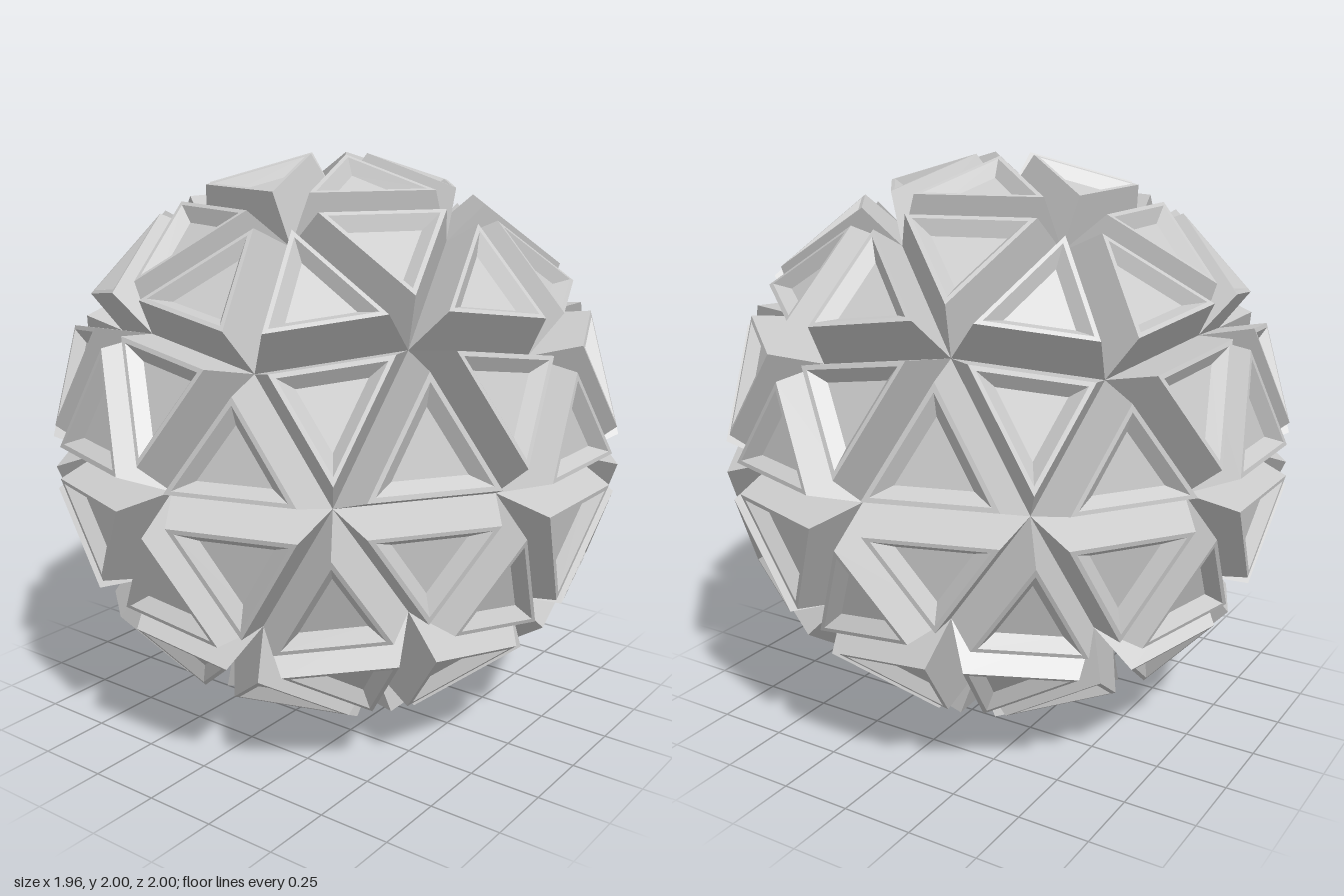
import * as THREE from 'three';

const RADIUS = 0.855;      // sphere on which the groove bottoms lie
const HEIGHT = 0.172;      // how far each plate stands out

// Cross-sections of one plate, from groove to recessed floor: [scale, height]
const SECTIONS = [
  [1, 0],
  [0.8, HEIGHT],
  [0.7, HEIGHT],
  [0.46, HEIGHT - 0.04],
];

// A raised triangular plate with a rim and a sunken centre
function plateGeometry(corners) {
  const centre = new THREE.Vector3();
  corners.forEach((c) => centre.addScaledVector(c, 1 / 3));
  const normal = new THREE.Triangle(...corners).getNormal(new THREE.Vector3());
  const rings = SECTIONS.map(([scale, height]) =>
    corners.map((c) => c.clone().sub(centre).multiplyScalar(scale).add(centre).addScaledVector(normal, height)));

  const points = [];
  for (let r = 0; r < rings.length - 1; r++) {
    for (let i = 0; i < 3; i++) {
      const j = (i + 1) % 3;
      const [a, b] = [rings[r][i], rings[r][j]];
      const [c, d] = [rings[r + 1][j], rings[r + 1][i]];
      points.push(a, b, c, a, c, d);
    }
  }
  points.push(...rings[rings.length - 1]);

  const geometry = new THREE.BufferGeometry().setFromPoints(points);
  geometry.computeVertexNormals();
  return geometry;
}

export function createModel() {
  const model = new THREE.Group();
  model.name = 'plateSphere';
  const material = new THREE.MeshStandardMaterial({ color: 0xcccccc, flatShading: true });

  // Subdivided icosahedron, turned so that one five-way corner is at the top
  const base = new THREE.IcosahedronGeometry(RADIUS, 1);
  base.rotateZ(-Math.atan(2 / (1 + Math.sqrt(5))));
  const position = base.getAttribute('position');

  // One plate on each of the 80 triangles
  for (let i = 0; i < position.count; i += 3) {
    const corners = [0, 1, 2].map((k) => new THREE.Vector3().fromBufferAttribute(position, i + k));
    const plate = new THREE.Mesh(plateGeometry(corners), material);
    plate.name = `plate${i / 3 + 1}`;
    plate.position.y = 1;
    model.add(plate);
  }
  return model;
}
